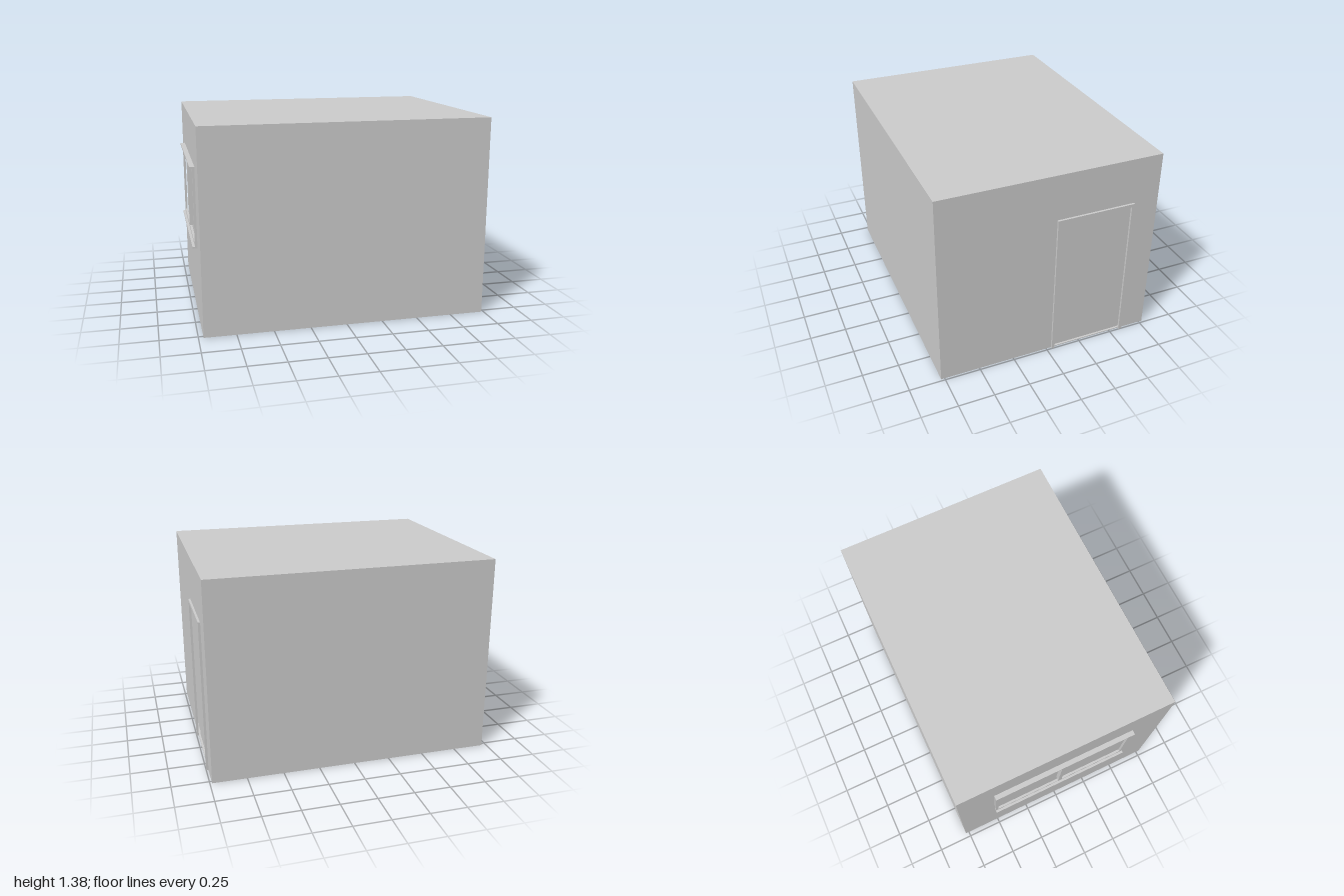
import * as THREE from 'three';

const material = new THREE.MeshStandardMaterial({ color: 0xcccccc, flatShading: true });

// Box given by its extents on each axis
function block(parent, name, [x0, x1], [y0, y1], [z0, z1]) {
  const mesh = new THREE.Mesh(new THREE.BoxGeometry(x1 - x0, y1 - y0, z1 - z0), material);
  mesh.name = name;
  mesh.position.set((x0 + x1) / 2, (y0 + y1) / 2, (z0 + z1) / 2);
  parent.add(mesh);
  return mesh;
}

function rectangle(path, [z0, z1], [y0, y1]) {
  path.moveTo(-z0, y0);
  path.lineTo(-z1, y0);
  path.lineTo(-z1, y1);
  path.lineTo(-z0, y1);
  path.closePath();
  return path;
}

// Side wall with one rectangular opening
function sideWall(parent, name, x, thickness, zRange, yRange, openZ, openY) {
  const shape = rectangle(new THREE.Shape(), zRange, yRange);
  shape.holes.push(rectangle(new THREE.Path(), openZ, openY));
  const geometry = new THREE.ExtrudeGeometry(shape, { depth: thickness, bevelEnabled: false });
  geometry.rotateY(Math.PI / 2);
  const mesh = new THREE.Mesh(geometry, material);
  mesh.name = name;
  mesh.position.x = x;
  parent.add(mesh);
}

export function createModel() {
  const model = new THREE.Group();
  model.name = 'room';
  const left = -0.967, right = 0.985, depth = [-0.775, 0.775];
  const floorTop = 0.004, height = 1.38, skin = 0.02;

  // Main volume
  block(model, 'floor', [left, right], [0, floorTop], depth);
  block(model, 'roomBody', [left + skin, right - skin], [floorTop, height], depth);

  // Door wall and recessed door
  const doorZ = [-0.573, -0.058], doorY = [0.006, 1.033];
  sideWall(model, 'doorWall', right - skin, skin, depth, [floorTop, height], doorZ, doorY);
  const door = new THREE.Group();
  door.name = 'door';
  model.add(door);
  block(door, 'doorPanel', [right - skin, right - 0.014], doorY, doorZ);
  const trim = [right, 1.0];
  block(door, 'doorJambBack', trim, [0, 1.033], [-0.594, doorZ[0]]);
  block(door, 'doorJambFront', trim, [0, 1.033], [doorZ[1], -0.037]);
  block(door, 'doorLintel', trim, [1.033, 1.055], [-0.594, -0.037]);

  // Window wall and recessed panes
  const windowZ = [-0.495, 0.495], windowY = [0.56, 1.055];
  sideWall(model, 'windowWall', left, skin, depth, [floorTop, height], windowZ, windowY);
  const window = new THREE.Group();
  window.name = 'window';
  model.add(window);
  block(window, 'windowPane', [left + 0.014, left + skin], windowY, windowZ);

  // Window frame, mullion and projecting ledges
  const frame = [-0.983, left];
  for (const side of [-1, 1]) {
    const z = [side * 0.495, side * 0.518].sort((a, b) => a - b);
    block(window, 'windowJamb', frame, [0.543, 1.07], z);
  }
  block(window, 'windowMullion', [-0.983, left + 0.014], windowY, [-0.014, 0.014]);
  block(window, 'windowBottomRail', frame, [0.543, 0.56], windowZ);
  block(window, 'windowTopRail', frame, [1.055, 1.07], windowZ);
  block(window, 'windowSill', [-1, left], [0.53, 0.543], [-0.518, 0.518]);
  block(window, 'windowHead', [-1, left], [1.07, 1.083], [-0.518, 0.518]);

  return model;
}
